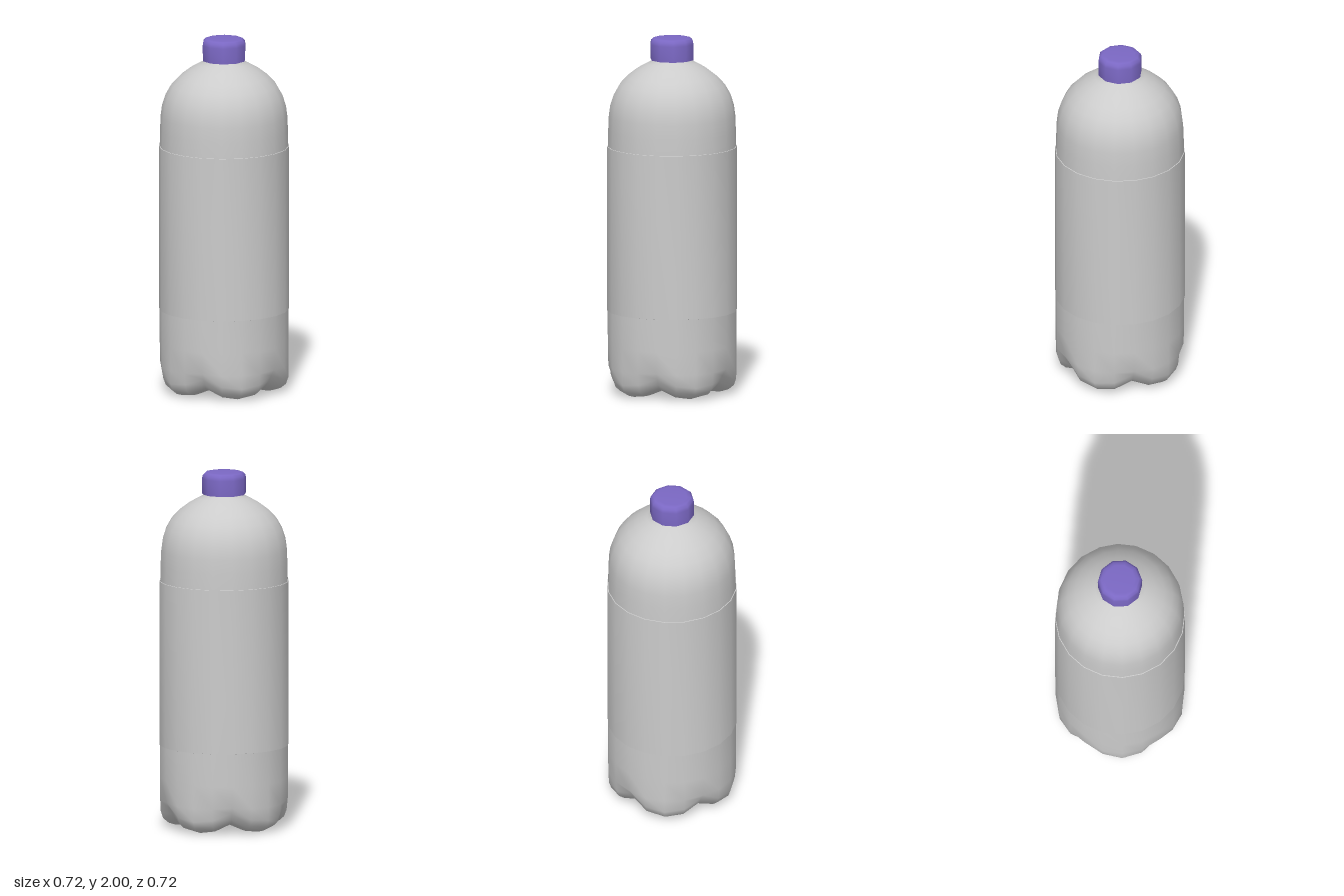
import * as THREE from 'three';
import { mergeVertices, toCreasedNormals } from 'three/addons/utils/BufferGeometryUtils.js';

const SIDES = 20;

// Revolve [radius, height] pairs, listed from bottom to top.
function revolve(profile, sides) {
  return new THREE.LatheGeometry(profile.map(([r, y]) => new THREE.Vector2(r, y)), sides);
}

// Weld the seam and shade smoothly, keeping edges sharper than the crease angle.
function smooth(geometry, crease) {
  geometry.deleteAttribute('uv');
  geometry.deleteAttribute('normal');
  return toCreasedNormals(mergeVertices(geometry, 1e-4), crease);
}

function addMesh(group, name, geometry, material) {
  const mesh = new THREE.Mesh(geometry, material);
  mesh.name = name;
  group.add(mesh);
}

// Five-footed base: blends between a foot profile and a groove profile around the axis.
function baseGeometry() {
  const foot = [[0, 0.05], [0.095, 0.05], [0.105, 0.04], [0.17, 0.022], [0.23, 0.005], [0.275, 0.003],
    [0.315, 0.014], [0.345, 0.037], [0.358, 0.075], [0.359, 0.15], [0.359, 0.28], [0.359, 0.47]];
  const groove = [[0, 0.05], [0.095, 0.05], [0.105, 0.04], [0.17, 0.042], [0.22, 0.047], [0.26, 0.054],
    [0.295, 0.067], [0.315, 0.09], [0.332, 0.125], [0.355, 0.16], [0.358, 0.28], [0.359, 0.47]];
  const geometry = revolve(foot, SIDES);
  const p = geometry.attributes.position;
  for (let i = 0; i < p.count; i++) {
    const k = i % foot.length;
    const angle = Math.floor(i / foot.length) / SIDES * Math.PI * 2;
    const fromX = angle - Math.PI / 2; // one groove lies on +x
    const w = ((1 + Math.cos(5 * fromX)) / 2) ** 2;
    const r = THREE.MathUtils.lerp(foot[k][0], groove[k][0], w);
    const y = THREE.MathUtils.lerp(foot[k][1], groove[k][1], w);
    p.setXYZ(i, r * Math.sin(angle), y, r * Math.cos(angle));
  }
  return smooth(geometry, 1.2);
}

export function createModel() {
  const bottle = new THREE.Group();
  bottle.name = 'bottle';
  const plastic = new THREE.MeshStandardMaterial({ color: 0xcccccc, side: THREE.DoubleSide });
  const capMaterial = new THREE.MeshStandardMaterial({ color: 0x7b68c4 });

  addMesh(bottle, 'footedBase', baseGeometry(), plastic);

  // Straight wall, domed shoulder and neck
  addMesh(bottle, 'bodyAndShoulder', smooth(revolve([
    [0.359, 0.47], [0.358, 1.39], [0.356, 1.48], [0.353, 1.56], [0.345, 1.62], [0.326, 1.68],
    [0.295, 1.735], [0.25, 1.783], [0.195, 1.825], [0.14, 1.856], [0.108, 1.872], [0.1, 1.885], [0.1, 1.95],
  ], SIDES), 1.2), plastic);

  // Label sleeve wrapped around the wall
  addMesh(bottle, 'labelSleeve', smooth(revolve([
    [0.358, 0.465], [0.362, 0.466], [0.362, 1.389], [0.357, 1.39],
  ], SIDES), 1.0), plastic);

  // Screw cap with a rounded top edge
  addMesh(bottle, 'cap', smooth(revolve([
    [0, 1.877], [0.122, 1.877], [0.124, 1.965], [0.12, 1.985], [0.106, 1.998], [0.085, 2], [0, 2],
  ], 10), 1.0), capMaterial);

  return bottle;
}
